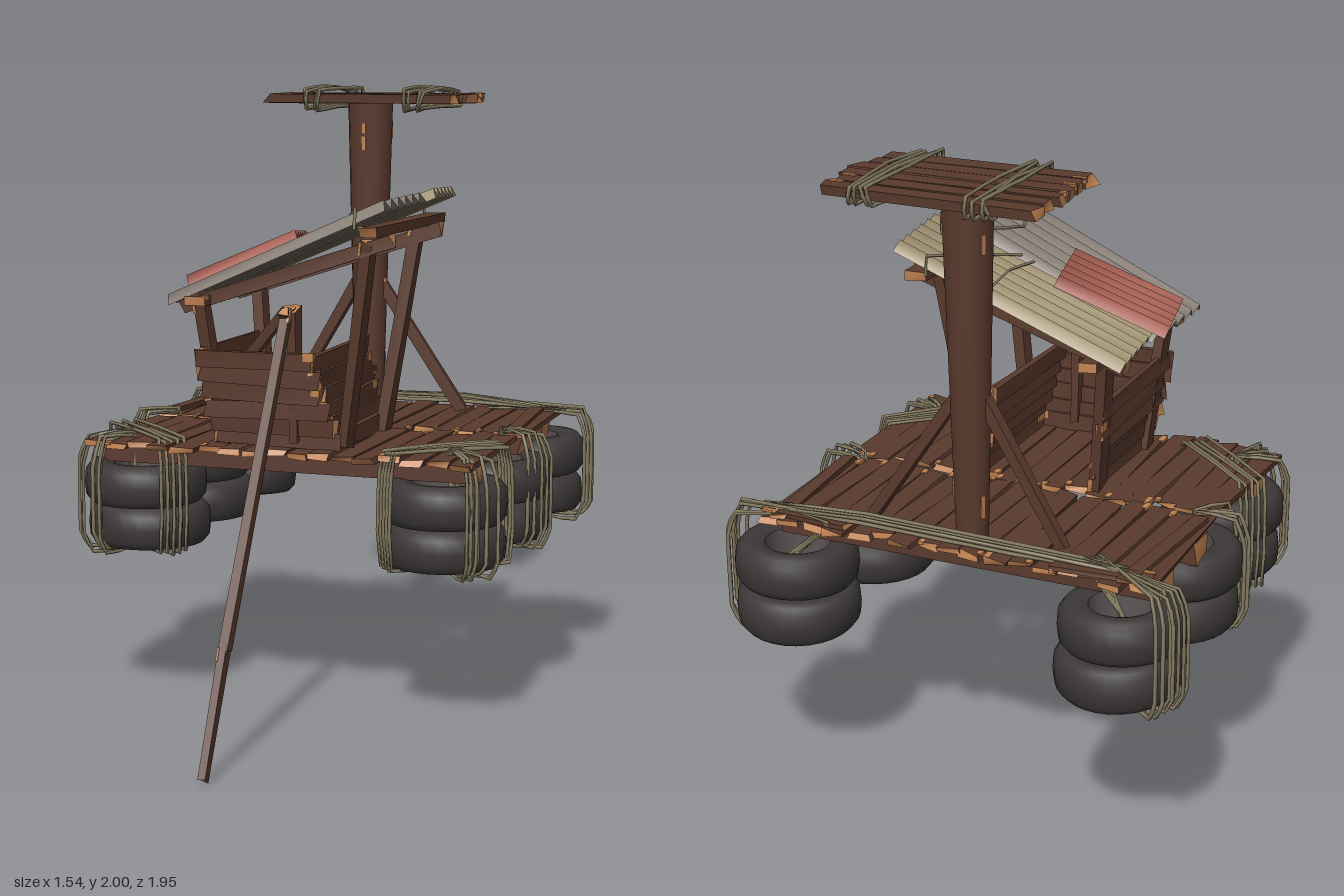
import * as THREE from 'three';

const mat = (name, color, side = THREE.FrontSide) => {
  const m = new THREE.MeshStandardMaterial({ color, side });
  m.name = name;
  return m;
};

export function createModel() {
  const wood = mat('dark wood', 0x5a3a2d), cut = mat('fresh cut wood', 0xc08252);
  const rubber = mat('tyre rubber', 0x3d3838), lining = mat('tyre lining', 0x5c5555);
  const rope = mat('rope', 0x8a8064);
  const tan = mat('tan sheet', 0xa59676, THREE.DoubleSide);
  const grey = mat('grey sheet', 0x8c837a, THREE.DoubleSide);
  const red = mat('red sheet', 0xa55c50, THREE.DoubleSide);
  const model = new THREE.Group();
  model.name = 'raft';

  let seed = 7;
  const rnd = (a = -1, b = 1) => {
    seed = (seed * 16807) % 2147483647;
    return a + (b - a) * (seed / 2147483647);
  };
  const V = (x, y, z) => new THREE.Vector3(x, y, z);
  const group = (name) => {
    const g = new THREE.Group();
    g.name = name;
    model.add(g);
    return g;
  };

  // Rough timber from a to b with pale sawn ends and a chipped corner; w is sideways, h is upwards
  function timber(parent, name, a, b, w, h, rough = 0.004) {
    const len = a.distanceTo(b);
    const geo = new THREE.BoxGeometry(len, h, w);
    const shift = Array.from({ length: 8 }, () => [rnd() * rough * 3, rnd() * rough * 0.5, rnd() * rough]);
    const p = geo.attributes.position;
    for (let i = 0; i < p.count; i++) {
      const s = shift[(p.getX(i) > 0 ? 1 : 0) + (p.getY(i) > 0 ? 2 : 0) + (p.getZ(i) > 0 ? 4 : 0)];
      p.setXYZ(i, p.getX(i) + s[0], p.getY(i) + s[1], p.getZ(i) + s[2]);
    }
    geo.computeVertexNormals();
    const mesh = new THREE.Mesh(geo, [cut, cut, wood, wood, wood, wood]);
    const X = b.clone().sub(a).normalize();
    const up = Math.abs(X.y) > 0.8 ? V(0, 0, 1) : V(0, 1, 0);
    const Z = X.clone().cross(up).normalize();
    mesh.quaternion.setFromRotationMatrix(new THREE.Matrix4().makeBasis(X, Z.clone().cross(X), Z));
    mesh.position.copy(a).add(b).multiplyScalar(0.5);
    mesh.name = name;
    parent.add(mesh);
    const size = rnd(0.02, 0.045);
    const chip = new THREE.Mesh(new THREE.BoxGeometry(size, h * 0.5, w * 0.25), cut);
    chip.position.set(Math.sign(rnd()) * (len / 2 - size * 0.6), h * 0.25 + 0.003, Math.sign(rnd()) * (w * 0.375 + 0.003));
    chip.name = 'chippedCorner';
    mesh.add(chip);
  }

  // Stiff rope: straight runs between a few points with tight bends
  function cord(parent, pts, closed = true, r = 0.0065) {
    const path = new THREE.CatmullRomCurve3(pts, closed, 'catmullrom', 0.1);
    path.getPointAt = (u) => path.getPoint(u);
    path.getTangentAt = (u) => path.getTangent(u);
    const mesh = new THREE.Mesh(new THREE.TubeGeometry(path, (pts.length - (closed ? 0 : 1)) * 2, r, 4, closed), rope);
    mesh.name = 'ropeStrand';
    parent.add(mesh);
  }

  // Deck: two rows of lengthwise planks over crossbeams
  const deck = group('deck');
  for (const [z0, z1] of [[-0.81, -0.26], [-0.235, 0.325]]) {
    for (let i = 0; i < 17; i++) {
      const x = -0.61 + i * 0.076, skew = rnd() * 0.01;
      timber(deck, 'deckPlank', V(x + skew, 0.868 + rnd() * 0.004, z0 + rnd() * 0.025),
        V(x - skew, 0.868 + rnd() * 0.004, z1 + rnd() * 0.025), 0.072, 0.018, 0.006);
    }
  }
  for (const z of [0.16, -0.39, -0.67])
    timber(deck, 'crossbeam', V(-0.64, 0.825, z), V(0.62, 0.825, z), 0.11, 0.066);
  for (const s of [-1, 1]) {
    timber(deck, 'edgePlank', V(s * 0.57, 0.885, -0.82), V(s * 0.61, 0.885, -0.3), 0.045, 0.014);
    timber(deck, 'endPlank', V(s * 0.34, 0.885, -0.79), V(s * 0.64, 0.885, -0.77), 0.06, 0.014);
  }

  // Floats: stacked pairs of tyres with a paler lining in the hole
  const ring = (pts) => new THREE.LatheGeometry(pts.map(([x, y]) => new THREE.Vector2(x, y)), 28);
  const tyreGeo = ring([[0.105, -0.06], [0.125, -0.067], [0.15, -0.07], [0.178, -0.064], [0.196, -0.042],
    [0.2, 0], [0.196, 0.042], [0.178, 0.064], [0.15, 0.07], [0.125, 0.067], [0.105, 0.06]]);
  const liningGeo = ring([[0.105, 0.06], [0.105, -0.06]]);
  const floats = group('floats');
  const spots = [[0.5, 0.155], [0.525, -0.3], [0.535, -0.775]];
  for (const s of [-1, 1]) for (const [x, z] of spots) for (const k of [0, 1]) {
    const tyre = new THREE.Group();
    tyre.add(new THREE.Mesh(tyreGeo, rubber), new THREE.Mesh(liningGeo, lining));
    tyre.name = 'tyre';
    tyre.position.set(s * (x + k * 0.008), 0.592 + k * 0.137, z + (k ? 0.012 : 0));
    if (z < -0.7) {
      tyre.rotation.set(k ? 0.02 : -0.06, 0, s * 0.03);
      tyre.scale.set(0.96, 1, 0.96);
    }
    floats.add(tyre);
  }

  // Lashings: fans of loops running out of each tyre hole and over the deck
  const lashings = group('lashings');
  function fan(cx, cz, angle, inner, count) {
    for (let i = 0; i < count; i++) {
      const a = angle + (i / (count - 1) - 0.5) * 0.6 + rnd() * 0.07, out = 0.215 + rnd() * 0.015;
      const at = (r, y) => V(cx + Math.cos(a) * r, y + rnd() * 0.012, cz + Math.sin(a) * r);
      cord(lashings, [at(inner, 0.89), at(out - 0.03, 0.885), at(out, 0.8), at(out, 0.57),
        at(out - 0.03, 0.512), at(0.09, 0.52), at(0.07, 0.7)]);
    }
  }
  fan(0.5, 0.155, 0.7, 0.06, 7);
  fan(-0.5, 0.155, Math.PI - 0.9, 0.06, 7);
  fan(0.525, -0.3, 0.4, 0.06, 5);
  fan(-0.525, -0.3, Math.PI - 0.45, 0.06, 6);
  fan(0.535, -0.775, 0.0, -0.14, 7);
  fan(-0.535, -0.775, Math.PI + 0.35, -0.12, 7);
  // Diagonal bands around the whole front stacks
  for (const s of [-1, 1]) for (let i = 0; i < 5; i++) {
    const o = (i - 2) * 0.022;
    const at = (t, y) => V(s * (0.51 + t * 0.74 + o * 0.67), y + rnd() * 0.008, 0.155 - t * 0.67 + o * 0.74);
    cord(lashings, [at(-0.195, 0.888), at(0.195, 0.888), at(0.212, 0.75), at(0.205, 0.52), at(-0.205, 0.52), at(-0.212, 0.75)]);
  }
  // Long lines across the stern
  for (let i = 0; i < 3; i++) {
    const z = -0.73 - i * 0.02;
    cord(lashings, [V(-0.62, 0.886, z), V(-0.2, 0.89, z + rnd() * 0.02), V(0.3, 0.9, z + rnd() * 0.02),
      V(0.67, 0.885, z), V(0.3, 0.915, z - 0.02), V(-0.3, 0.905, z - 0.02)]);
  }

  // Mast with its braces and pale splinters
  const mast = group('mast');
  const trunk = new THREE.Mesh(new THREE.CylinderGeometry(0.078, 0.05, 1.07, 14), wood);
  trunk.position.set(-0.02, 1.405, -0.68);
  trunk.name = 'mastTrunk';
  mast.add(trunk);
  for (const s of [-1, 1])
    timber(mast, 'mastBrace', V(s * 0.32, 0.88, -0.68), V(s * 0.03 - 0.02, 1.34, -0.68), 0.035, 0.035);
  for (let i = 0; i < 12; i++) {
    const y = i < 6 ? rnd(1.78, 1.91) : rnd(0.9, 1.1), a = i * 2.1, r = 0.05 + (y - 0.87) * 0.0262;
    const chip = new THREE.Mesh(new THREE.BoxGeometry(0.014, rnd(0.03, 0.07), 0.006), cut);
    chip.position.set(-0.02 + Math.sin(a) * r, y, -0.68 + Math.cos(a) * r);
    chip.rotation.y = a;
    chip.name = 'mastSplinter';
    mast.add(chip);
  }

  // Lookout platform lashed to the mast head
  const lookout = group('lookout');
  for (let i = 0; i < 6; i++) {
    const z = -0.51 - i * 0.072, skew = rnd() * 0.006;
    timber(lookout, 'lookoutPlank', V(-0.325 + rnd() * 0.015, 1.955, z + skew),
      V(0.34 + rnd() * 0.015, 1.955, z - skew), 0.064, 0.03, 0.005);
  }
  for (const x of [-0.16, 0.2]) for (let i = 0; i < 4; i++) {
    const at = (y, z) => V(x + (i - 1.5) * 0.02 + rnd() * 0.014, y + rnd() * 0.006, z + rnd() * 0.006);
    cord(lookout, [at(1.982, -0.46), at(1.99, -0.68), at(1.982, -0.91), at(1.925, -0.9), at(1.93, -0.68), at(1.92, -0.47)]);
  }

  // Cabin: three leaning plank walls, open at the rear
  const cabin = group('cabin');
  for (let i = 0; i < 6; i++) {
    const t = i / 5, y = 0.9 + t * 0.25, j = () => rnd() * 0.012;
    const xl = -0.21 - t * 0.05, xr = 0.17 - t * 0.06, zf = 0.245 + t * 0.05, zb = -0.225 - t * 0.03;
    timber(cabin, 'frontWallPlank', V(xl - 0.02, y + j(), zf), V(xr + 0.015 + j(), y + j(), zf), 0.02, 0.056, 0.005);
    for (const x of [xl, xr])
      timber(cabin, 'sideWallPlank', V(x, y + j(), zb + j()), V(x, y + j(), zf - 0.012), 0.02, 0.056, 0.005);
  }

  // Roof frame: leaning posts, sloping rafters and lengthwise purlins
  const frame = group('roofFrame');
  for (const z of [0.25, -0.25]) {
    timber(frame, 'rightPost', V(0.19, 0.88, z * 0.78), V(0.285, 1.54, z * 1.02), 0.035, 0.06);
    timber(frame, 'leftPost', V(-0.22, 0.88, z * 0.78), V(-0.27, 1.34, z * 1.02), 0.035, 0.06);
    timber(frame, 'rafter', V(-0.33, 1.315, z), V(0.365, 1.54, z), 0.06, 0.045);
  }
  timber(frame, 'highPurlin', V(0.3, 1.568, 0.31), V(0.3, 1.568, -0.4), 0.06, 0.03);
  timber(frame, 'lowPurlin', V(-0.26, 1.342, 0.34), V(-0.26, 1.342, -0.38), 0.06, 0.03);

  // Corrugated roof sheets, ridges running down the slope
  const roof = group('roof');
  function sheet(name, material, len, width, waves, pos, yaw) {
    const geo = new THREE.PlaneGeometry(len, width, 1, waves * 2).rotateX(-Math.PI / 2);
    const p = geo.attributes.position;
    for (let i = 0; i < p.count; i++) p.setY(i, (i >> 1) % 2 ? 0.017 : -0.017);
    geo.computeVertexNormals();
    const mesh = new THREE.Mesh(geo, material);
    mesh.position.copy(pos);
    mesh.rotation.set(0, yaw, 0.41, 'ZYX');
    mesh.name = name;
    roof.add(mesh);
  }
  sheet('greyRoofSheet', grey, 0.79, 0.385, 6, V(0.01, 1.5, 0.157), -0.04);
  sheet('tanRoofSheet', tan, 0.79, 0.33, 6, V(0.015, 1.505, -0.215), 0.09);
  sheet('redRoofPatch', red, 0.38, 0.28, 6, V(-0.195, 1.455, 0.035), 0.21);
  // Loose ropes over the sheets, tucked under the edges
  const onRoof = (x, z, lift = 0.022) => V(x, 1.5 + x * 0.434 + lift, z);
  cord(roof, [onRoof(0.06, -0.06), onRoof(0.08, -0.2), onRoof(0.06, -0.39), onRoof(0.06, -0.4, -0.04)], false, 0.005);
  cord(roof, [onRoof(0.1, -0.06), onRoof(0.17, -0.2), onRoof(0.26, -0.4), onRoof(0.26, -0.41, -0.04)], false, 0.005);
  cord(roof, [onRoof(0.24, -0.03), onRoof(0.18, 0.13), onRoof(0.28, 0.37), onRoof(0.28, 0.38, -0.04)], false, 0.005);

  // Steering oar resting in a small fork
  const oar = group('steeringOar');
  timber(oar, 'oarShaft', V(0.03, 1.32, 0.285), V(0.022, 0.36, 0.8), 0.032, 0.032, 0.002);
  timber(oar, 'oarBlade', V(0.022, 0.37, 0.795), V(0.02, 0.012, 0.965), 0.024, 0.036, 0.002);
  timber(oar, 'forkPost', V(0.045, 0.9, 0.25), V(0.045, 1.32, 0.27), 0.03, 0.05);
  timber(oar, 'forkStrut', V(-0.13, 1.14, 0.24), V(0.04, 1.33, 0.29), 0.03, 0.03);
  timber(oar, 'forkStrut', V(0.03, 1.18, 0.2), V(0.03, 1.32, 0.32), 0.025, 0.025);
  return model;
}
